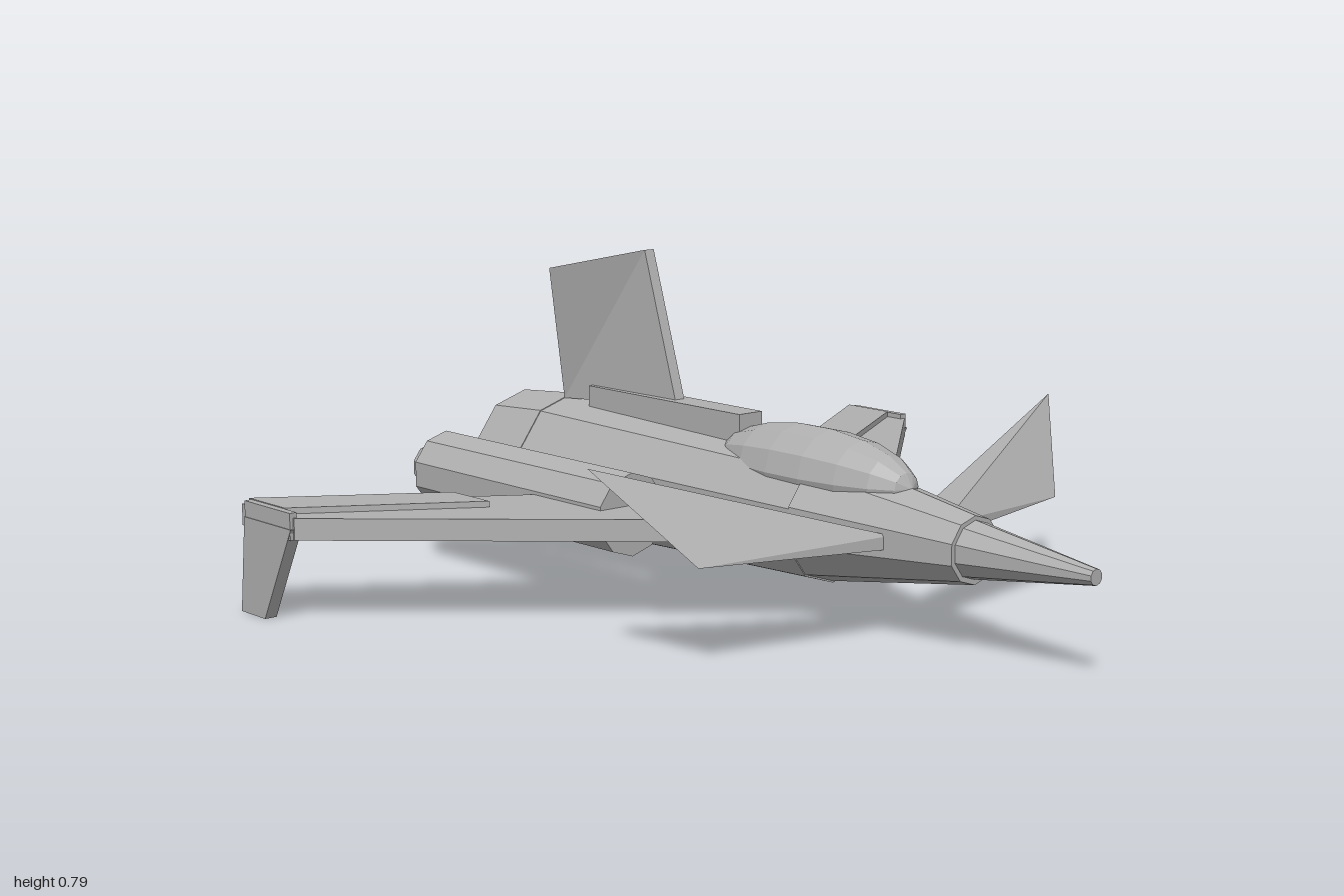
import * as THREE from 'three';
import { ConvexGeometry } from 'three/addons/geometries/ConvexGeometry.js';

export function createModel() {
  const model = new THREE.Group();
  const grey = new THREE.MeshStandardMaterial({ color: 0xb0b0b0 });
  grey.name = 'hullGrey';

  const add = (name, geometry) => {
    const mesh = new THREE.Mesh(geometry, grey);
    mesh.name = name;
    model.add(mesh);
    return mesh;
  };
  const faceted = (geometry) => {
    const g = geometry.toNonIndexed();
    g.computeVertexNormals();
    return g;
  };
  // Solid hull around a few corner points
  const hull = (name, points) =>
    add(name, new ConvexGeometry(points.map((p) => new THREE.Vector3(...p))));
  // Horizontal plate from an [x, z] outline
  const plate = (name, outline, y0, y1, s) =>
    hull(name, outline.flatMap(([x, z]) => [[s * x, y0, z], [s * x, y1, z]]));
  // Ten-sided barrel along z, from the front end to the back end
  const barrel = (name, zFront, rFront, zBack, rBack, x = 0, y = 0.226) => {
    const g = new THREE.CylinderGeometry(rFront, rBack, zFront - zBack, 10);
    g.rotateX(Math.PI / 2);
    g.translate(x, y, (zFront + zBack) / 2);
    return add(name, faceted(g));
  };

  // Fuselage
  barrel('noseCone', 1, 0.018, 0.66, 0.065, 0, 0.231);
  barrel('forwardFuselage', 0.66, 0.076, 0.22, 0.145, 0, 0.23);
  barrel('mainFuselage', 0.22, 0.145, -0.73, 0.172);
  barrel('engineCollar', -0.73, 0.174, -0.93, 0.158);
  barrel('mainNozzle', -0.93, 0.122, -1, 0.095, 0, 0.232);

  // Canopy
  const canopy = new THREE.SphereGeometry(1, 12, 9);
  canopy.rotateX(Math.PI / 2);
  canopy.scale(0.108, 0.102, 0.31);
  canopy.translate(0, 0.333, 0.16);
  add('canopy', faceted(canopy));

  // Dorsal spine
  const spine = new THREE.BoxGeometry(0.07, 0.12, 0.56);
  spine.translate(0, 0.375, -0.34);
  add('dorsalSpine', spine);

  // Tail fin: thin in front, flaring to a wide upper rear edge
  const pair = (x, y, z) => [[-x, y, z], [x, y, z]];
  const tailTop = pair(0.014, 0.785, -0.425);
  const tailRear = pair(0.026, 0.39, -0.73);
  hull('tailFinFront', [...pair(0.014, 0.42, -0.31), ...tailTop, ...tailRear]);
  hull('tailFinRear', [...tailTop, ...tailRear, ...pair(0.082, 0.722, -0.712)]);

  for (const s of [1, -1]) {
    const side = s > 0 ? 'left' : 'right';

    // Wing and raised flap
    plate(side + 'Wing', [[0.05, 0.33], [0.955, -0.51], [0.955, -0.73], [0.05, -0.14]], 0.2, 0.25, s);
    plate(side + 'Flap', [[0.56, -0.32], [0.945, -0.565], [0.945, -0.715], [0.56, -0.46]], 0.24, 0.264, s);

    // Downturned wingtip fin
    const fin = [[0.225, -0.51], [0, -0.63], [0, -0.73], [0.225, -0.705]];
    hull(side + 'WingtipFin', fin.flatMap(([y, z]) => [[s * 0.935, y, z], [s * 0.965, y, z]]));

    // Wingtip rail
    plate(side + 'WingtipRail', [[0.945, -0.515], [0.963, -0.515], [0.963, -0.705], [0.945, -0.705]], 0.2, 0.262, s);

    // Canard with raised tip
    hull(side + 'Canard', [
      [0.08, 0.245, 0.485], [0.08, 0.215, 0.485], [0.11, 0.235, 0.36],
      [0.39, 0.24, 0.27], [0.55, 0.23, 0.395], [0.707, 0.437, 0.227],
    ].map(([x, y, z]) => [s * x, y, z]));

    // Engine nacelle
    barrel(side + 'Nacelle', -0.12, 0.097, -0.845, 0.097, s * 0.307, 0.228);
    barrel(side + 'NacelleNozzle', -0.845, 0.072, -0.912, 0.054, s * 0.307, 0.23);
  }
  return model;
}
